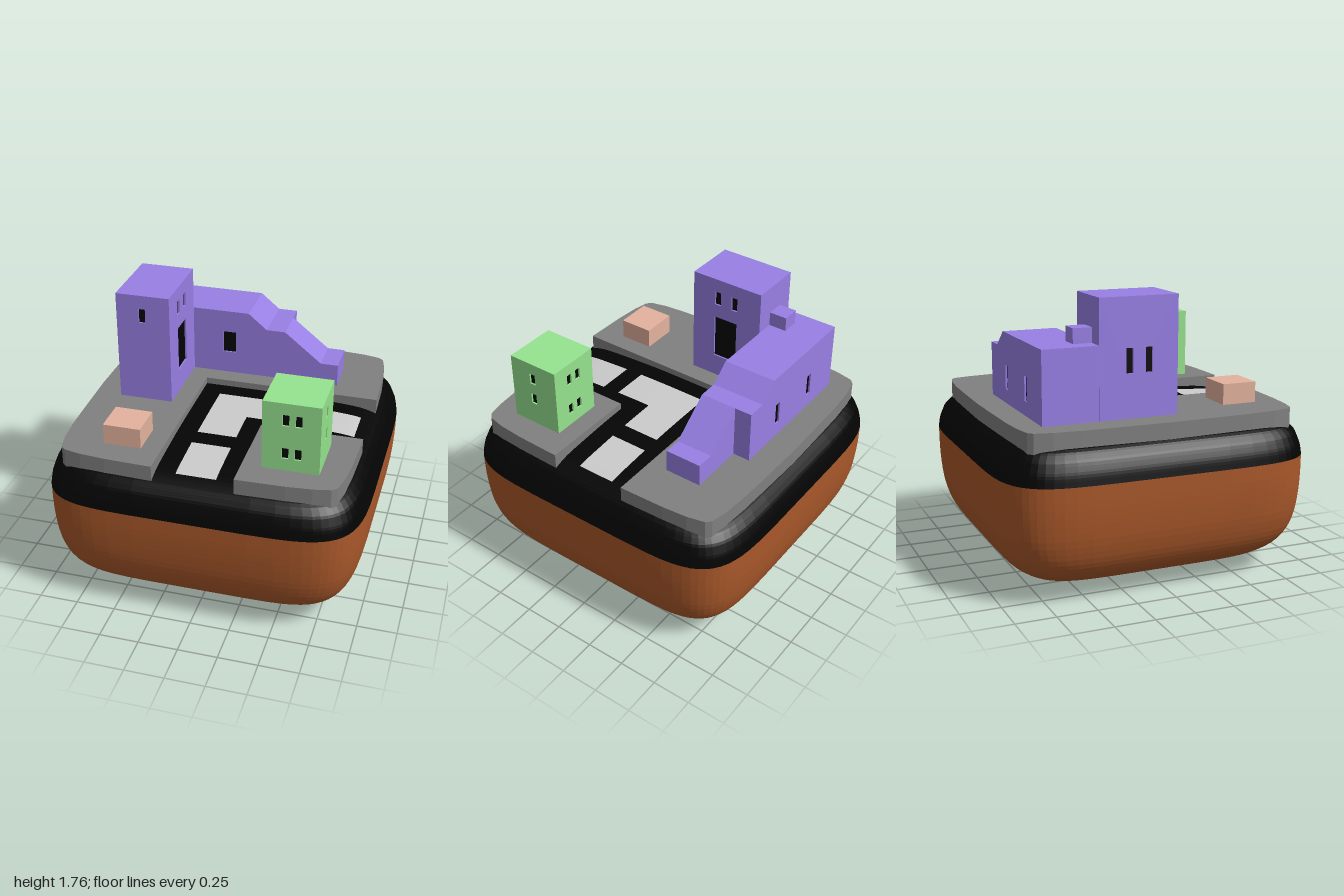
import * as THREE from 'three';

const mat = (color, extra = {}) => new THREE.MeshStandardMaterial({ color, flatShading: true, ...extra });
const BROWN = mat(0xa9582a), BLACK = mat(0x040404), GREY = mat(0x808080);
const PAVING = mat(0xcccccc, { side: THREE.DoubleSide });
const PURPLE = mat(0x987fe4), GREEN = mat(0x96e38f), PINK = mat(0xe4b29e);
const RECESS = 0.012;

// Smooth base profiles: [half width, height, squareness]
const profile = (points) =>
  new THREE.CatmullRomCurve3(points.map((p) => new THREE.Vector3(...p))).getPoints(30).map((p) => p.toArray());
const SOIL = profile([
  [0, 0, 5.6], [0.25, 0.006, 5.6], [0.47, 0.024, 5.7], [0.62, 0.048, 5.8], [0.73, 0.08, 5.9], [0.82, 0.125, 6],
  [0.89, 0.185, 6], [0.94, 0.265, 6], [0.972, 0.37, 6], [0.99, 0.49, 5.9], [0.999, 0.62, 5.8], [1, 0.745, 5.8],
]);
const ROAD = profile([
  [1, 0.745, 5.8], [0.992, 0.8, 5.8], [0.975, 0.85, 5.9], [0.94, 0.905, 6.3], [0.89, 0.941, 6.5],
  [0.8, 0.967, 6.5], [0.6, 0.984, 6.5], [0.4, 0.994, 6.5], [0.2, 0.999, 6.5], [0, 1, 6.5],
]);

// Skin a stack of rounded-square rings
function loft(rings, n = 64) {
  const pos = [], idx = [];
  const pw = (v, e) => Math.sign(v) * Math.abs(v) ** (2 / e);
  rings.forEach(([s, y, e], i) => {
    for (let j = 0; j < n; j++) {
      const t = ((j + 0.5) / n) * Math.PI * 2;
      pos.push(s * pw(Math.cos(t), e), y, s * pw(Math.sin(t), e));
      if (i === rings.length - 1) continue;
      const a = i * n + j, b = i * n + ((j + 1) % n);
      idx.push(a, a + n, b, b, a + n, b + n);
    }
  });
  const g = new THREE.BufferGeometry();
  g.setAttribute('position', new THREE.Float32BufferAttribute(pos, 3));
  g.setIndex(idx);
  g.computeVertexNormals();
  return g;
}

// Height of the domed road surface
function roadHeight(x, z) {
  const r = (Math.abs(x) ** 6.5 + Math.abs(z) ** 6.5) ** (1 / 6.5);
  const i = ROAD.findIndex(([s], k) => k > 0 && s <= r);
  const k = i < 0 ? ROAD.length - 1 : i;
  const [s0, y0] = ROAD[k], [s1, y1] = ROAD[k - 1];
  return y0 + ((y1 - y0) * (r - s0)) / (s1 - s0);
}

const rect = (x0, x1, y0, y1) => [[x0, y0], [x1, y0], [x1, y1], [x0, y1]];
const vectors = (points) => points.map(([x, y]) => new THREE.Vector2(x, y));

// Extrude an x/y outline, with openings, from z0 to z1
function prism(outline, z0, z1, holes = []) {
  const shape = new THREE.Shape(vectors(outline));
  shape.holes = holes.map((h) => new THREE.Path(vectors(rect(...h))));
  return new THREE.ExtrudeGeometry(shape, { depth: z1 - z0, bevelEnabled: false }).translate(0, 0, z0);
}

export function createModel() {
  const model = new THREE.Group();
  const add = (name, geometry, material, parent = model) => {
    const mesh = new THREE.Mesh(geometry, material);
    mesh.name = name;
    parent.add(mesh);
  };
  const group = (name, parent = model) => {
    const g = new THREE.Group();
    g.name = name;
    parent.add(g);
    return g;
  };
  // Box given by its extents
  const box = (name, x0, x1, y0, y1, z0, z1, material, parent) =>
    add(name, prism(rect(x0, x1, y0, y1), z0, z1), material, parent);

  // Wall panel with recessed dark windows; the panel faces local +z
  const wall = (name, outline, windows, material, parent) => {
    const g = group(name, parent);
    add('panel', prism(outline, -RECESS, 0, windows), material, g);
    for (const w of windows) add('window', prism(rect(...w), -RECESS - 0.002, -RECESS + 0.001), BLACK, g);
    return g;
  };
  // Rectangular building; windows are [centre, width, y0, y1] along x or z
  const building = (name, [x0, x1, y0, y1, z0, z1], sides, material, parent) => {
    const g = group(name, parent);
    const r = RECESS;
    box('core', x0 + r, x1 - r, y0, y1, z0 + r, z1 - r, material, g);
    const panel = (side, lo, hi, flip) => {
      const windows = (sides[side] || []).map(([c, w, a, b]) => [flip * c - w / 2, flip * c + w / 2, a, b]);
      const ends = [flip * lo, flip * hi].sort((a, b) => a - b);
      return wall(side + 'Wall', rect(ends[0], ends[1], y0, y1), windows, material, g);
    };
    panel('front', x0, x1, 1).position.z = z1;
    const back = panel('back', x0, x1, -1);
    back.rotation.y = Math.PI;
    back.position.z = z0;
    const left = panel('left', z0 + r, z1 - r, -1);
    left.rotation.y = Math.PI / 2;
    left.position.x = x1;
    const right = panel('right', z0 + r, z1 - r, 1);
    right.rotation.y = -Math.PI / 2;
    right.position.x = x0;
  };

  // Rounded ground block
  add('soil', loft(SOIL), BROWN);
  add('road', loft(ROAD), BLACK);

  // Raised pavements with softly rounded corners
  const CORNER = [[0.89, 0.35], [0.884, 0.55], [0.87, 0.71], [0.845, 0.82], [0.815, 0.848], [0.71, 0.87],
    [0.55, 0.884], [0.35, 0.89]];
  const corner = (sx, sz) => CORNER.map(([x, z]) => [sx * x, sz * z]);
  const pavement = (name, outline) =>
    add(name, prism(outline.map(([x, z]) => [x, -z]), 0.9, 1.04).rotateX(-Math.PI / 2), GREY);
  pavement('largePavement', [
    [0.892, -0.253], ...corner(1, -1), [0, -0.897], ...corner(-1, -1).reverse(), [-0.897, 0], ...corner(-1, 1),
    [-0.253, 0.892], [-0.253, -0.253],
  ]);
  pavement('smallPavement', [[0.25, 0.25], [0.892, 0.25], ...corner(1, 1), [0.25, 0.892]]);

  // Pale patches that follow the road dome
  const patches = group('roadPatches');
  for (const [x0, x1, z0, z1] of [
    [-0.127, 0.373, -0.127, 0.123], [-0.127, 0.123, 0.123, 0.373],
    [0.493, 0.817, -0.127, 0.123], [-0.127, 0.123, 0.493, 0.817],
  ]) {
    const g = new THREE.PlaneGeometry(x1 - x0, z1 - z0, 12, 12).rotateX(-Math.PI / 2)
      .translate((x0 + x1) / 2, 0, (z0 + z1) / 2);
    const p = g.attributes.position;
    for (let i = 0; i < p.count; i++) p.setY(i, roadHeight(p.getX(i), p.getZ(i)) + 0.004);
    g.computeVertexNormals();
    add('roadPatch', g, PAVING, patches);
  }

  // Purple house: tower, sloping wings and chimney
  const house = group('house');
  building('tower', [-0.725, -0.377, 1.03, 1.76, -0.377, 0.123], {
    front: [[-0.557, 0.043, 1.577, 1.67]],
    left: [[-0.062, 0.043, 1.577, 1.67], [-0.185, 0.043, 1.577, 1.67], [-0.123, 0.166, 1.19, 1.485]],
    right: [[-0.062, 0.043, 1.31, 1.46], [-0.185, 0.043, 1.31, 1.46]],
  }, PURPLE, house);
  const wing = [[-0.72, 1.03], [0.247, 1.03], [0.247, 1.383], [0.123, 1.383], [0, 1.485], [-0.72, 1.485]];
  add('wingCore', prism(wing, -0.725 + RECESS, -0.377 - RECESS), PURPLE, house);
  wall('wingFront', wing, [[-0.173, -0.088, 1.19, 1.337]], PURPLE, house).position.z = -0.377;
  const wingBack = wall('wingBack', wing.map(([x, y]) => [-x, y]),
    [0.06, 0.43].map((x) => [x - 0.022, x + 0.022, 1.13, 1.28]), PURPLE, house);
  wingBack.rotation.y = Math.PI;
  wingBack.position.z = -0.725;
  add('lowWing', prism([
    [0.247, 1.03], [0.607, 1.03], [0.607, 1.187], [0.493, 1.187], [0.247, 1.383],
  ], -0.613, -0.377), PURPLE, house);
  box('chimney', -0.613, -0.497, 1.47, 1.577, -0.495, -0.375, PURPLE, house);

  // Green block with windows on all four sides
  const pairs = [0.51, 0.587].flatMap((x) => [[x, 0.039, 1.12, 1.19], [x, 0.039, 1.338, 1.41]]);
  building('greenBlock', [0.37, 0.717, 1.03, 1.485, 0.37, 0.718], {
    front: pairs,
    back: pairs,
    left: [[0.553, 0.04, 1.19, 1.262], [0.553, 0.04, 1.338, 1.41]],
    right: [[0.553, 0.04, 1.145, 1.216], [0.553, 0.04, 1.338, 1.41]],
  }, GREEN, model);

  // Small pink hut
  box('hut', -0.613, -0.377, 1.03, 1.17, 0.493, 0.717, PINK);
  return model;
}
